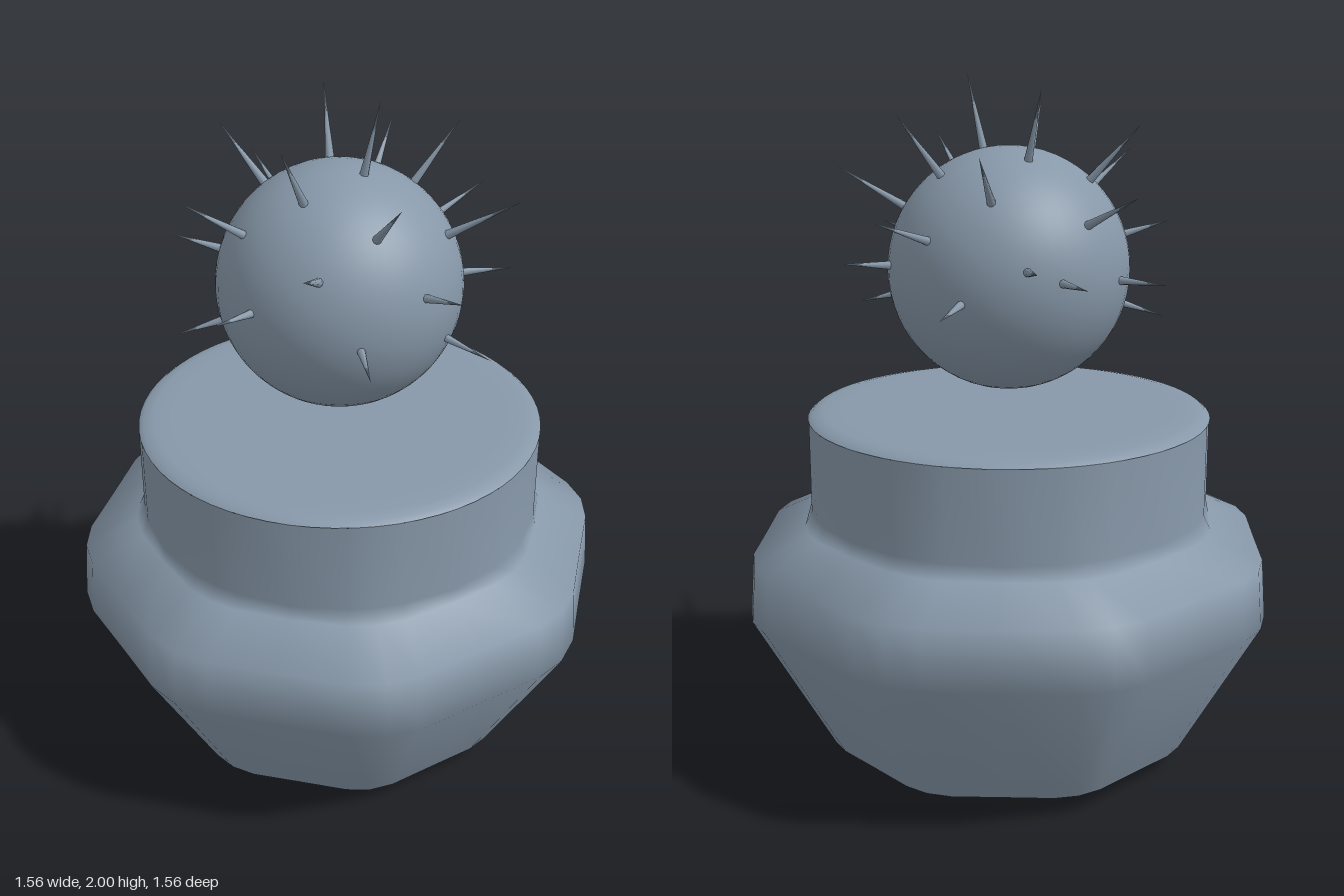
import * as THREE from 'three';
import { mergeVertices } from 'three/addons/utils/BufferGeometryUtils.js';

const slate = new THREE.MeshStandardMaterial({ color: 0x8798a9 });
slate.name = 'slate';

// Lathe with eight soft lobes; rows are [radius, height, lobe depth]
const ANGLES = [0, 7.4, 22.5, 37.6];
const DIPS = [0, 0.013, 0.048, 0.013];
function lobedLathe(rows) {
  const geo = new THREE.LatheGeometry(rows.map(([r, y]) => new THREE.Vector2(r, y)), 32);
  const pos = geo.attributes.position;
  for (let i = 0; i < pos.count; i++) {
    const seg = Math.floor(i / rows.length) % 32;
    const [r, y, depth] = rows[i % rows.length];
    const a = THREE.MathUtils.degToRad(Math.floor(seg / 4) * 45 + ANGLES[seg % 4]);
    const radius = r * (1 - depth * DIPS[seg % 4]);
    pos.setXYZ(i, Math.sin(a) * radius, y, Math.cos(a) * radius);
  }
  geo.deleteAttribute('normal');
  geo.deleteAttribute('uv');
  const merged = mergeVertices(geo, 1e-4);
  merged.computeVertexNormals();
  return merged;
}

export function createModel() {
  const group = new THREE.Group();
  const add = (name, geo, parent = group) => {
    const mesh = new THREE.Mesh(geo, slate);
    mesh.name = name;
    parent.add(mesh);
    return mesh;
  };

  // Pot: lobed belly flowing into a round collar, with a shallow pointed base
  add('potBody', lobedLathe([
    [0.55, 0.06, 1], [0.78, 0.475, 1], [0.767, 0.645, 1],
    [0.61, 0.72, 0.6], [0.585, 0.76, 0], [0.585, 1.025, 0],
  ]));
  add('potBase', lobedLathe([[0, 0, 0], [0.55, 0.06, 1]]));

  // Soil disc closing the collar
  const soil = [[0.585, 1.025], [0.57, 1.037], [0.54, 1.043], [0.48, 1.045], [0, 1.045]];
  add('soil', new THREE.LatheGeometry(soil.map(([r, y]) => new THREE.Vector2(r, y)), 64));

  // Round cactus
  const centre = new THREE.Vector3(0, 1.45, 0);
  add('cactusBall', new THREE.SphereGeometry(0.346, 48, 32)).position.copy(centre);

  // Spines, listed by tip position
  const tips = [
    [0.13, 2.0, 0], [-0.165, 1.96, -0.155], [0.205, 1.89, -0.28], [-0.37, 1.86, 0.057],
    [0.02, 1.92, 0.283], [0.345, 1.82, 0.22], [0.46, 1.74, -0.18], [-0.22, 1.77, 0.405],
    [0.22, 1.685, 0.46], [-0.11, 1.8, -0.425], [0.16, 1.63, -0.505], [-0.458, 1.69, -0.19],
    [-0.4, 1.58, 0.24], [0.463, 1.55, 0.1], [-0.06, 1.49, 0.477], [-0.27, 1.51, -0.42],
    [0.375, 1.48, -0.31], [-0.37, 1.46, -0.32], [-0.486, 1.435, -0.02], [-0.02, 1.38, -0.48],
    [0.34, 1.395, 0.34], [-0.375, 1.29, 0.28], [0.465, 1.325, -0.05],
  ];
  const spines = new THREE.Group();
  spines.name = 'spines';
  group.add(spines);
  const up = new THREE.Vector3(0, 1, 0);
  for (const t of tips) {
    const dir = new THREE.Vector3(...t).sub(centre);
    const reach = dir.length();
    dir.normalize();
    const length = reach - 0.32;
    const spine = add('spine', new THREE.ConeGeometry(0.014, length, 8), spines);
    spine.position.copy(centre).addScaledVector(dir, reach - length / 2);
    spine.quaternion.setFromUnitVectors(up, dir);
  }
  return group;
}
